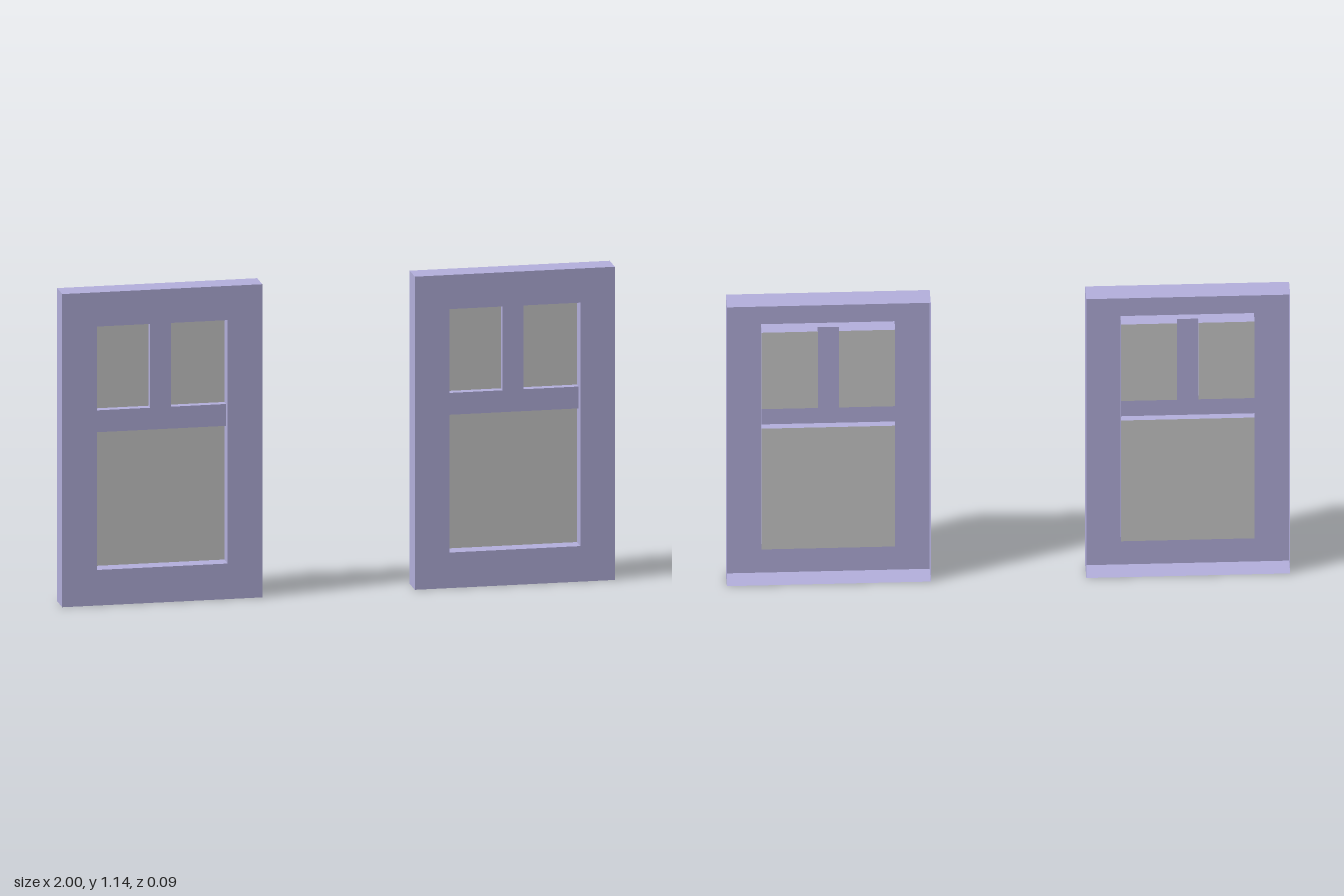
import * as THREE from 'three';
import { mergeGeometries } from 'three/addons/utils/BufferGeometryUtils.js';

const painted = new THREE.MeshStandardMaterial({ color: 0xb4b0dd, side: THREE.DoubleSide });
const glass = new THREE.MeshStandardMaterial({ color: 0xcccccc, side: THREE.DoubleSide });

// Depths: front face, glazing bars, glass, back edge
const FRONT = 0.045, BAR = 0.015, PANE = -0.015, BACK = -0.045;

// Rectangles as [left, bottom, right, top], x measured from the window's centre line
const OUTER = [-0.362, 0, 0.362, 1.145];
const OPENING = [-0.237, 0.13, 0.237, 1.02];
const PANES = {
  lowerPane: [-0.237, 0.13, 0.237, 0.626],
  upperRightPane: [-0.237, 0.706, -0.038, 1.02],
  upperLeftPane: [0.038, 0.706, 0.237, 1.02],
};

function corners([l, b, r, t]) {
  return [[l, b], [r, b], [r, t], [l, t]].map(([x, y]) => new THREE.Vector2(x, y));
}

// Flat rectangle facing the front at depth z
function sheet([l, b, r, t], z) {
  return new THREE.PlaneGeometry(r - l, t - b).translate((l + r) / 2, (b + t) / 2, z);
}

// Four thin walls around a rectangle, from depth z0 back to z1
function walls(rect, z0, z1) {
  const c = corners(rect);
  return mergeGeometries(c.map((p, i) => {
    const q = c[(i + 1) % 4];
    return new THREE.PlaneGeometry(p.distanceTo(q), z0 - z1)
      .rotateX(-Math.PI / 2)
      .translate(0, 0, 0)
      .rotateX(Math.PI)
      .rotateZ(Math.atan2(q.y - p.y, q.x - p.x))
      .translate((p.x + q.x) / 2, (p.y + q.y) / 2, (z0 + z1) / 2);
  }));
}

function add(group, name, geometry, material = painted) {
  const mesh = new THREE.Mesh(geometry, material);
  mesh.name = name;
  group.add(mesh);
}

function createWindow(name) {
  const g = new THREE.Group();
  g.name = name;

  // Hollow surround, open at the back
  const face = new THREE.Shape(corners(OUTER));
  face.holes.push(new THREE.Path(corners(OPENING).reverse()));
  add(g, 'frameFace', new THREE.ShapeGeometry(face).translate(0, 0, FRONT));
  add(g, 'frameSides', walls(OUTER, FRONT, BACK));
  add(g, 'openingReveal', walls(OPENING, FRONT, BAR));

  // Glazing bars, set back from the face
  add(g, 'crossBar', sheet([-0.237, 0.626, 0.237, 0.706], BAR));
  add(g, 'uprightBar', sheet([-0.038, 0.706, 0.038, 1.02], BAR));

  // Panes with their own reveals
  for (const [pane, rect] of Object.entries(PANES)) {
    add(g, pane + 'Reveal', walls(rect, BAR, PANE));
    add(g, pane, sheet(rect, PANE), glass);
  }
  return g;
}

export function createModel() {
  const model = new THREE.Group();
  model.name = 'windowPair';
  for (const side of [-1, 1]) {
    const w = createWindow(side < 0 ? 'rightWindow' : 'leftWindow');
    w.position.x = side * 0.638;
    model.add(w);
  }
  return model;
}
